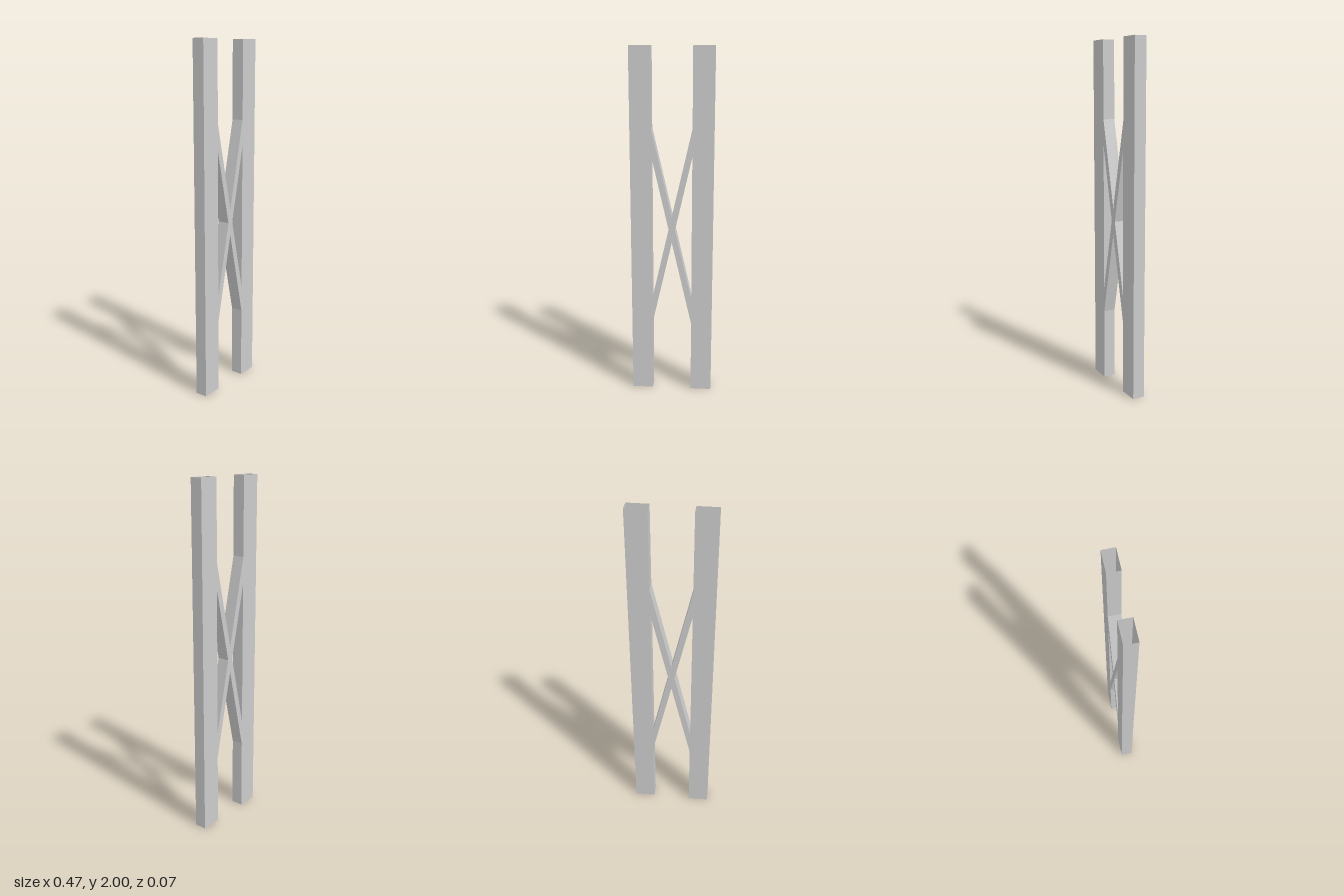
import * as THREE from 'three';

const OUT = 0.233, INN = 0.114, DEPTH = 0.035, H = 2;
const MID = 0.99;         // height of the crossing
const V_END = 0.57;       // outer brace edge meets the post, above/below MID
const V_MID = 0.075;      // outer brace edges meet on the centre line
const HOLE_END = 0.42;    // inner brace edge meets the post
const HOLE_TIP = 0.018;   // tip of each triangular opening

const material = new THREE.MeshStandardMaterial({
  color: 0xcccccc, flatShading: true, side: THREE.DoubleSide,
});

function addMesh(group, geometry, name) {
  const mesh = new THREE.Mesh(geometry, material);
  mesh.name = name;
  group.add(mesh);
  return mesh;
}

// Open strip of wall that follows a path in the front plane, from back to front
function wall(path) {
  const pos = [];
  for (let i = 0; i + 1 < path.length; i++) {
    const [ax, ay] = path[i], [bx, by] = path[i + 1];
    pos.push(ax, ay, DEPTH, ax, ay, -DEPTH, bx, by, -DEPTH);
    pos.push(ax, ay, DEPTH, bx, by, -DEPTH, bx, by, DEPTH);
  }
  const g = new THREE.BufferGeometry();
  g.setAttribute('position', new THREE.Float32BufferAttribute(pos, 3));
  g.computeVertexNormals();
  return g;
}

const toVectors = (pts) => pts.map(([x, y]) => new THREE.Vector2(x, y));

export function createModel() {
  const group = new THREE.Group();
  group.name = 'crossBracedPosts';

  // Edges of the frame, counter-clockwise; the post ends stay open
  const rightSide = [[OUT, 0], [OUT, H]];
  const upperV = [[INN, H], [INN, MID + V_END], [0, MID + V_MID], [-INN, MID + V_END], [-INN, H]];
  const leftSide = [[-OUT, H], [-OUT, 0]];
  const lowerV = [[-INN, 0], [-INN, MID - V_END], [0, MID - V_MID], [INN, MID - V_END], [INN, 0]];

  // Triangular openings between the posts and the braces
  const openings = [-1, 1].map((s) => {
    const tri = [[s * INN, MID + HOLE_END], [s * HOLE_TIP, MID], [s * INN, MID - HOLE_END]];
    return s > 0 ? tri.reverse() : tri;
  }).map((tri) => (THREE.ShapeUtils.isClockWise(toVectors(tri)) ? tri : tri.reverse()));

  // Front and back sheets
  const shape = new THREE.Shape(toVectors([...rightSide, ...upperV, ...leftSide, ...lowerV]));
  for (const tri of openings) shape.holes.push(new THREE.Path(toVectors(tri)));
  const sheet = new THREE.ShapeGeometry(shape);
  addMesh(group, sheet, 'frontSheet').position.z = DEPTH;
  const back = addMesh(group, sheet, 'backSheet');
  back.position.z = -DEPTH;
  back.rotation.y = Math.PI;

  // Side walls of the hollow posts and braces
  addMesh(group, wall(rightSide), 'leftPostOuterWall');
  addMesh(group, wall(leftSide), 'rightPostOuterWall');
  addMesh(group, wall(upperV), 'upperBraceWall');
  addMesh(group, wall(lowerV), 'lowerBraceWall');
  openings.forEach((tri, i) => addMesh(group, wall([...tri, tri[0]]), i ? 'leftOpeningWall' : 'rightOpeningWall'));

  return group;
}
